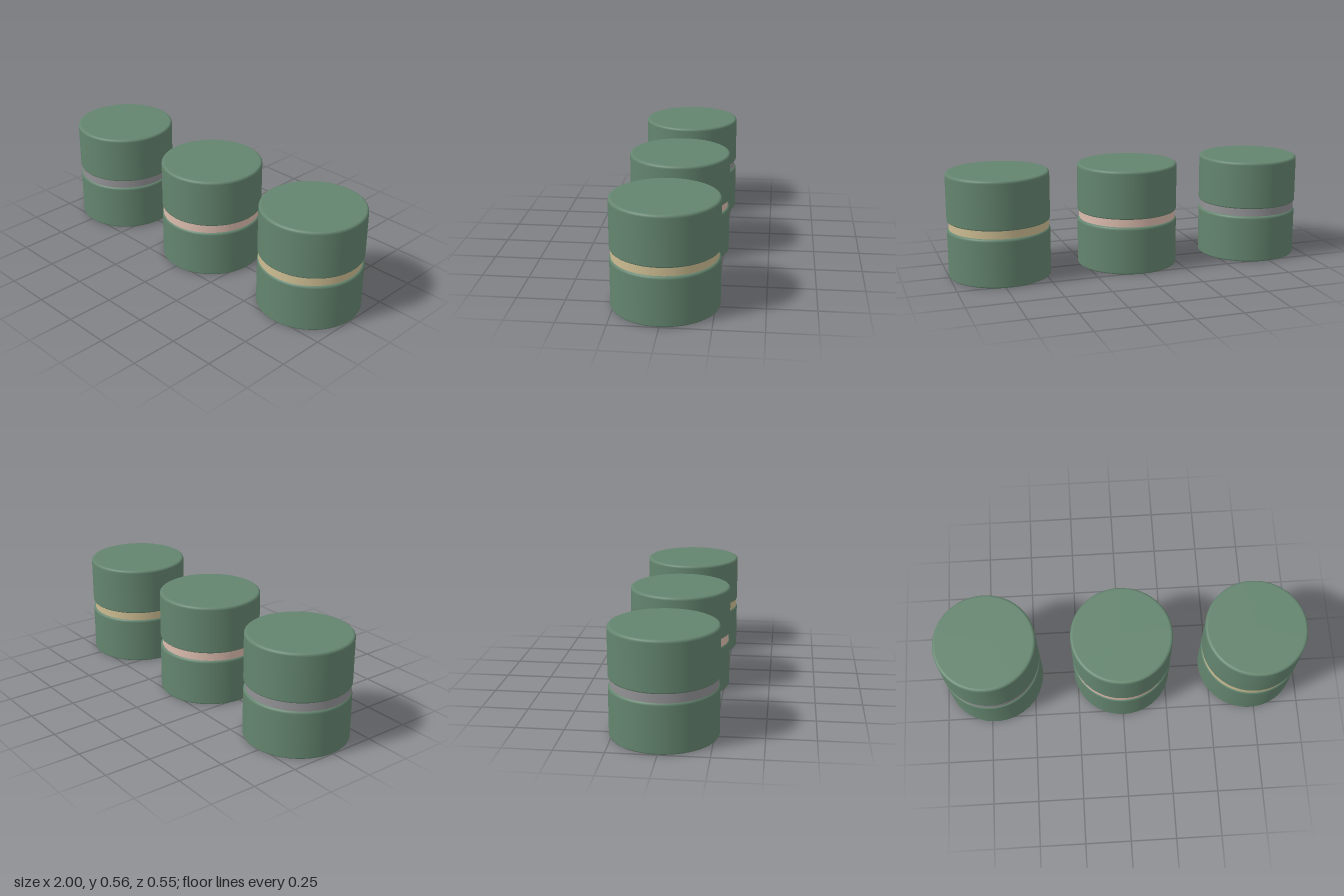
import * as THREE from 'three';

const RADIUS = 0.274;
const HALF_HEIGHT = 0.26;
const BAND_HEIGHT = 0.043;
const SEGMENTS = 64;

const paint = (name, color) => {
  const material = new THREE.MeshStandardMaterial({ color });
  material.name = name;
  return material;
};

// Solid drum with a small rounded lower rim and a larger rounded upper rim
function drumGeometry(bottomBevel, topBevel) {
  const points = [new THREE.Vector2(0, 0), new THREE.Vector2(RADIUS - bottomBevel - 0.001, 0)];
  const addRim = (bevel, centreY, start) => {
    for (let i = 0; i <= 5; i++) {
      const a = start + (i / 5) * Math.PI / 2;
      points.push(new THREE.Vector2(RADIUS - bevel + bevel * Math.cos(a), centreY + bevel * Math.sin(a)));
    }
  };
  addRim(bottomBevel, bottomBevel, -Math.PI / 2);
  // Support rows keep the wall shading straight
  points.push(new THREE.Vector2(RADIUS, bottomBevel + 0.001));
  points.push(new THREE.Vector2(RADIUS, HALF_HEIGHT - topBevel - 0.001));
  addRim(topBevel, HALF_HEIGHT - topBevel, 0);
  points.push(new THREE.Vector2(RADIUS - topBevel - 0.001, HALF_HEIGHT));
  points.push(new THREE.Vector2(0, HALF_HEIGHT));
  return new THREE.LatheGeometry(points, SEGMENTS);
}

export function createModel() {
  const model = new THREE.Group();
  model.name = 'threeBandedCanisters';

  const green = paint('sage green', 0x64856f);
  const bands = [
    { x: -0.726, material: paint('grey', 0x939295) },
    { x: 0.005, material: paint('blush pink', 0xdcbcae) },
    { x: 0.726, material: paint('sand gold', 0xcdbd92) },
  ];

  const drum = drumGeometry(0.007, 0.014);
  const ring = new THREE.CylinderGeometry(0.266, 0.266, BAND_HEIGHT + 0.02, SEGMENTS);

  for (const { x, material } of bands) {
    const canister = new THREE.Group();
    canister.name = 'canister';
    canister.position.x = x;

    // Lower body and lid share one shape
    const body = new THREE.Mesh(drum, green);
    body.name = 'lowerBody';
    const lid = new THREE.Mesh(drum, green);
    lid.name = 'upperLid';
    lid.position.y = HALF_HEIGHT + BAND_HEIGHT;

    // Recessed coloured band between the halves
    const band = new THREE.Mesh(ring, material);
    band.name = 'middleBand';
    band.position.set(-0.002, HALF_HEIGHT + BAND_HEIGHT / 2, 0.002);

    canister.add(body, band, lid);
    model.add(canister);
  }
  return model;
}
